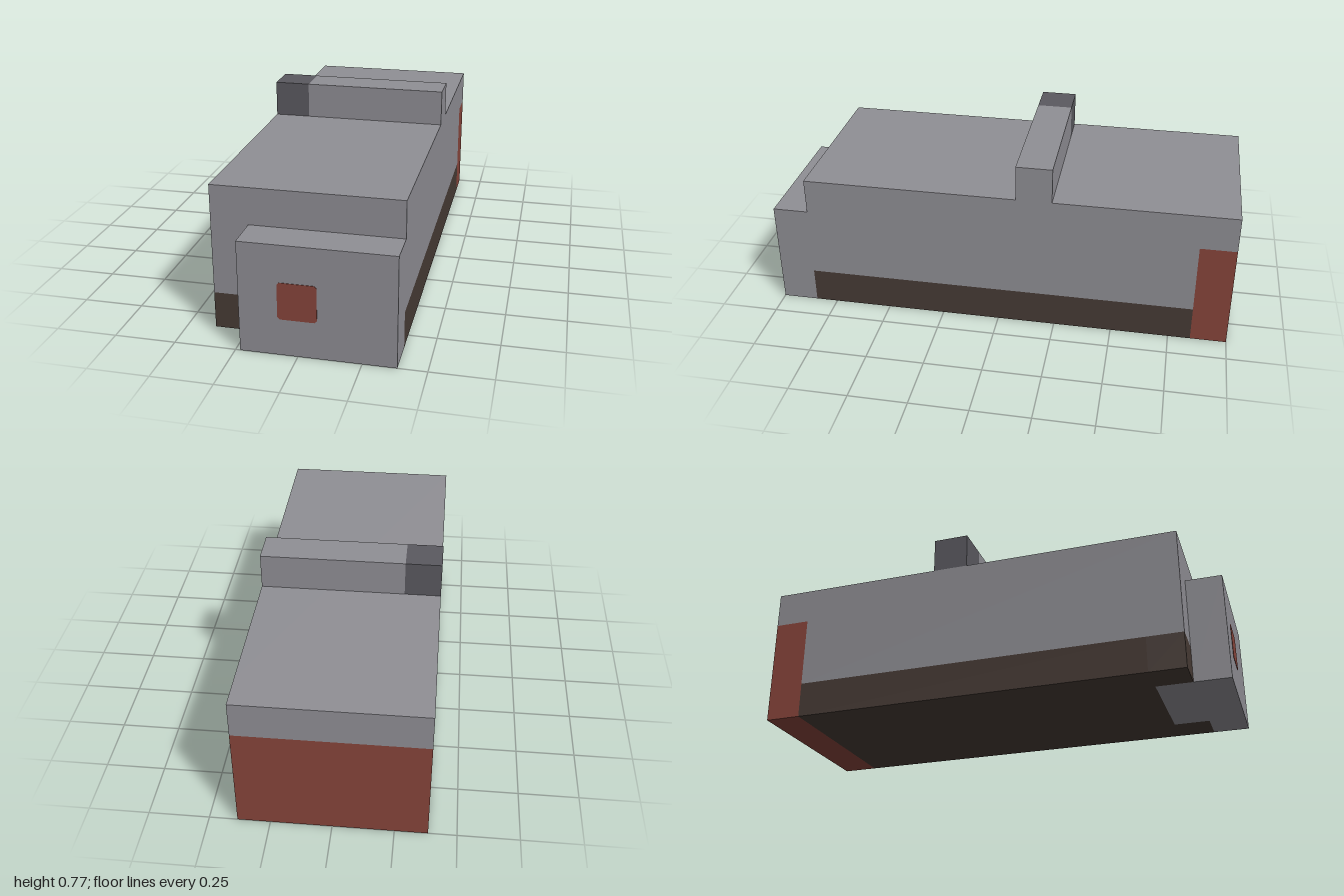
import * as THREE from 'three';

// One block cell; the model is 5 x 5 x 13 cells
const U = 2 / 13;

export function createModel() {
  const model = new THREE.Group();
  model.name = 'blockVehicle';

  const material = (name, color) => {
    const m = new THREE.MeshStandardMaterial({ color });
    m.name = name;
    return m;
  };
  const grey = material('grey', 0x908f95);
  const darkGrey = material('darkGrey', 0x5b5a60);
  const brown = material('darkBrown', 0x473b35);
  const red = material('rustRed', 0x88453b);

  // Box from its lower and upper corners, given in cells
  const block = (name, mat, [x0, y0, z0], [x1, y1, z1]) => {
    const geo = new THREE.BoxGeometry((x1 - x0) * U, (y1 - y0) * U, (z1 - z0) * U);
    const mesh = new THREE.Mesh(geo, mat);
    mesh.position.set((x0 + x1) / 2, (y0 + y1) / 2, (z0 + z1) / 2).multiplyScalar(U);
    mesh.name = name;
    model.add(mesh);
  };

  // Hull
  block('hull', grey, [-2.5, 1, -5.5], [2.5, 4, 5.5]);
  block('rearDeck', grey, [-2.5, 3, -6.5], [2.5, 4, -5.5]);
  block('rearPanel', red, [-2.5, 0, -6.5], [2.5, 3, -5.5]);

  // Underside, with a grey inset behind the nose
  block('base', brown, [-2.5, 0, -5.5], [2.5, 1, 4.5]);
  block('baseCornerRight', brown, [-2.5, 0, 4.5], [-1.5, 1, 5.5]);
  block('baseCornerLeft', brown, [1.5, 0, 4.5], [2.5, 1, 5.5]);
  block('baseInset', grey, [-1.5, 0, 4.5], [1.5, 1, 5.5]);

  // Nose, set off to the left
  block('nose', grey, [-1.5, 0, 5.5], [2.5, 3, 6.5]);

  // Crossbar on the roof with a dark end
  block('crossbar', grey, [-1.5, 4, -1.5], [2.5, 5, -0.5]);
  block('crossbarEnd', darkGrey, [-2.5, 4, -1.5], [-1.5, 5, -0.5]);

  // Red square with clipped corners on the nose
  const h = U / 2, c = h - 0.009;
  const outline = [[-c, -h], [c, -h], [h, -c], [h, c], [c, h], [-c, h], [-h, c], [-h, -c]];
  const shape = new THREE.Shape(outline.map(([x, y]) => new THREE.Vector2(x, y)));
  const mark = new THREE.Mesh(
    new THREE.ExtrudeGeometry(shape, { depth: 0.003, bevelEnabled: false }), red);
  mark.name = 'noseMark';
  mark.position.set(0, 1.5 * U, 6.5 * U - 0.001);
  model.add(mark);

  return model;
}
